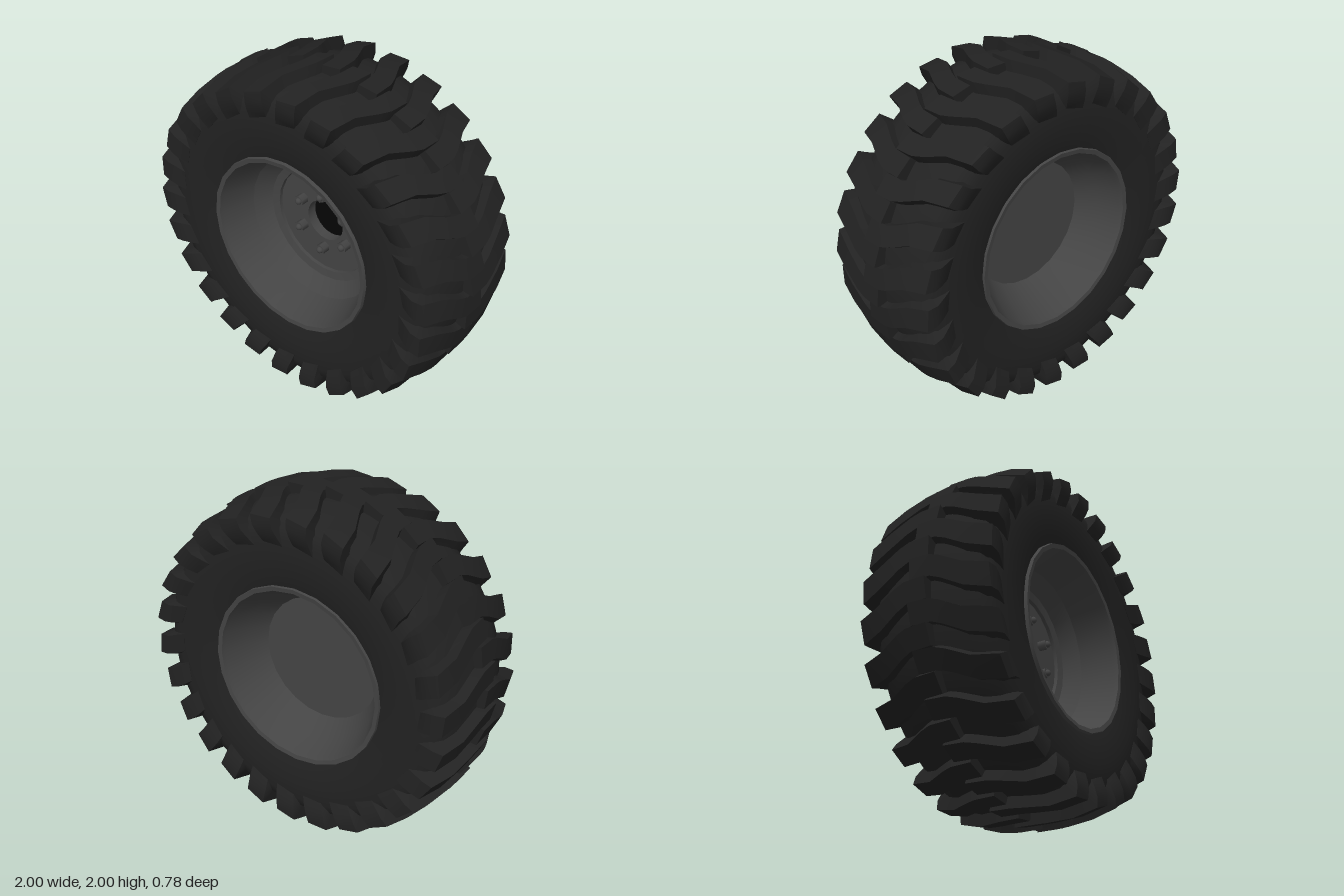
import * as THREE from 'three';
import { toCreasedNormals } from 'three/addons/utils/BufferGeometryUtils.js';

const rubber = new THREE.MeshStandardMaterial({ color: 0x222222 });
const steel = new THREE.MeshStandardMaterial({ color: 0x444444 });
const black = new THREE.MeshStandardMaterial({ color: 0x050505 });
const rad = THREE.MathUtils.degToRad;

// Revolve [radius, z] points around the z axle
function revolve(points, segments, crease) {
  const geo = new THREE.LatheGeometry(points.map(([r, z]) => new THREE.Vector2(r, z)), segments);
  geo.rotateX(Math.PI / 2);
  return toCreasedNormals(geo, crease);
}

// One tread bar, swept from the centre line over the shoulder onto the sidewall.
// Station: outer radius, outer z, inner radius, inner z, sweep in degrees, outer width, inner width
const stations = [
  [0.988, -0.05, 0.91, -0.05, 0, 0.113, 0.118],
  [0.988, 0.07, 0.91, 0.07, 0.3, 0.113, 0.125],
  [0.983, 0.13, 0.9, 0.12, 1.6, 0.116, 0.135],
  [0.965, 0.25, 0.87, 0.22, 5.2, 0.12, 0.15],
  [0.926, 0.385, 0.84, 0.3, 7, 0.122, 0.16],
  [0.87, 0.39, 0.82, 0.31, 7.2, 0.122, 0.155],
  [0.82, 0.376, 0.79, 0.32, 8, 0.125, 0.145],
  [0.77, 0.357, 0.76, 0.33, 9, 0.12, 0.125],
];
const TILT = 0.01; // the clockwise edge of each bar stands prouder

function barGeometry(side) {
  const pos = [], index = [];
  for (const [ro, zo, ri, zi, sweep, w, wi] of stations) {
    const a = rad(sweep), c = Math.cos(a), s = Math.sin(a);
    const corners = [[-w / 2, ro - TILT, zo], [w / 2, ro + TILT, zo], [wi / 2, ri, zi], [-wi / 2, ri, zi]];
    for (const [u, r, z] of corners) pos.push(u * c - r * s, u * s + r * c, z * side);
  }
  const tri = (a, b, c) => (side > 0 ? index.push(a, b, c) : index.push(a, c, b));
  const quad = (a, b, c, d) => { tri(a, b, c); tri(a, c, d); };
  const last = (stations.length - 1) * 4;
  for (let i = 0; i < last; i += 4) {
    for (let k = 0; k < 4; k++) {
      const n = (k + 1) % 4;
      quad(i + k, i + 4 + k, i + 4 + n, i + n);
    }
  }
  quad(0, 1, 2, 3);
  quad(last + 3, last + 2, last + 1, last);
  const geo = new THREE.BufferGeometry();
  geo.setAttribute('position', new THREE.Float32BufferAttribute(pos, 3));
  geo.setIndex(index);
  return toCreasedNormals(geo, 0.6);
}

export function createModel() {
  const model = new THREE.Group();
  model.name = 'tractorWheel';
  const wheel = new THREE.Group();
  wheel.name = 'wheel';
  wheel.position.y = 1;
  model.add(wheel);

  const add = (parent, name, geo, mat) => {
    const mesh = new THREE.Mesh(geo, mat);
    mesh.name = name;
    parent.add(mesh);
    return mesh;
  };

  // Tyre carcass: mirrored half profile
  const half = [[0.938, 0], [0.934, 0.12], [0.918, 0.22], [0.89, 0.3], [0.855, 0.338], [0.8, 0.354], [0.7, 0.358], [0.58, 0.348], [0.52, 0.33]];
  const carcass = [...half.slice(1).reverse().map(([r, z]) => [r, -z]), ...half];
  add(wheel, 'tyreCarcass', revolve(carcass, 64, 0.8), rubber);

  // Tread bars: two staggered rows
  const count = 26;
  for (const [name, side, start] of [['frontTread', 1, 10.4], ['backTread', -1, 3.5]]) {
    const row = new THREE.Group();
    row.name = name;
    wheel.add(row);
    const geo = barGeometry(side);
    for (let i = 0; i < count; i++) {
      add(row, 'treadBar', geo, rubber).rotation.z = -rad(start) - (i / count) * Math.PI * 2;
    }
  }

  // Rim: closed back dish, lips, and stepped front dish with a centre bore
  add(wheel, 'rim', revolve([
    [0, -0.09], [0.37, -0.09], [0.44, -0.2], [0.495, -0.32], [0.505, -0.343], [0.53, -0.347], [0.535, -0.325],
    [0.51, -0.3], [0.51, 0.3],
    [0.535, 0.33], [0.53, 0.352], [0.505, 0.348], [0.497, 0.325], [0.44, 0.14], [0.37, 0.055], [0.325, 0.045],
    [0.323, 0.025], [0.125, 0.025], [0.125, -0.04],
  ], 24, 0.3), steel);
  add(wheel, 'boreCap', new THREE.CircleGeometry(0.126, 24), black).position.z = -0.035;

  // Six wheel nuts
  const nutGeo = new THREE.CylinderGeometry(0.031, 0.031, 0.05, 6).rotateX(Math.PI / 2);
  const tipGeo = new THREE.SphereGeometry(0.02, 12, 8);
  for (let i = 0; i < 6; i++) {
    const a = rad(30 + i * 60);
    const nut = new THREE.Group();
    nut.name = 'wheelNut';
    nut.position.set(0.178 * Math.cos(a), 0.178 * Math.sin(a), 0.048);
    add(nut, 'nutBody', nutGeo, steel);
    add(nut, 'studTip', tipGeo, steel).position.z = 0.025;
    wheel.add(nut);
  }
  return model;
}
